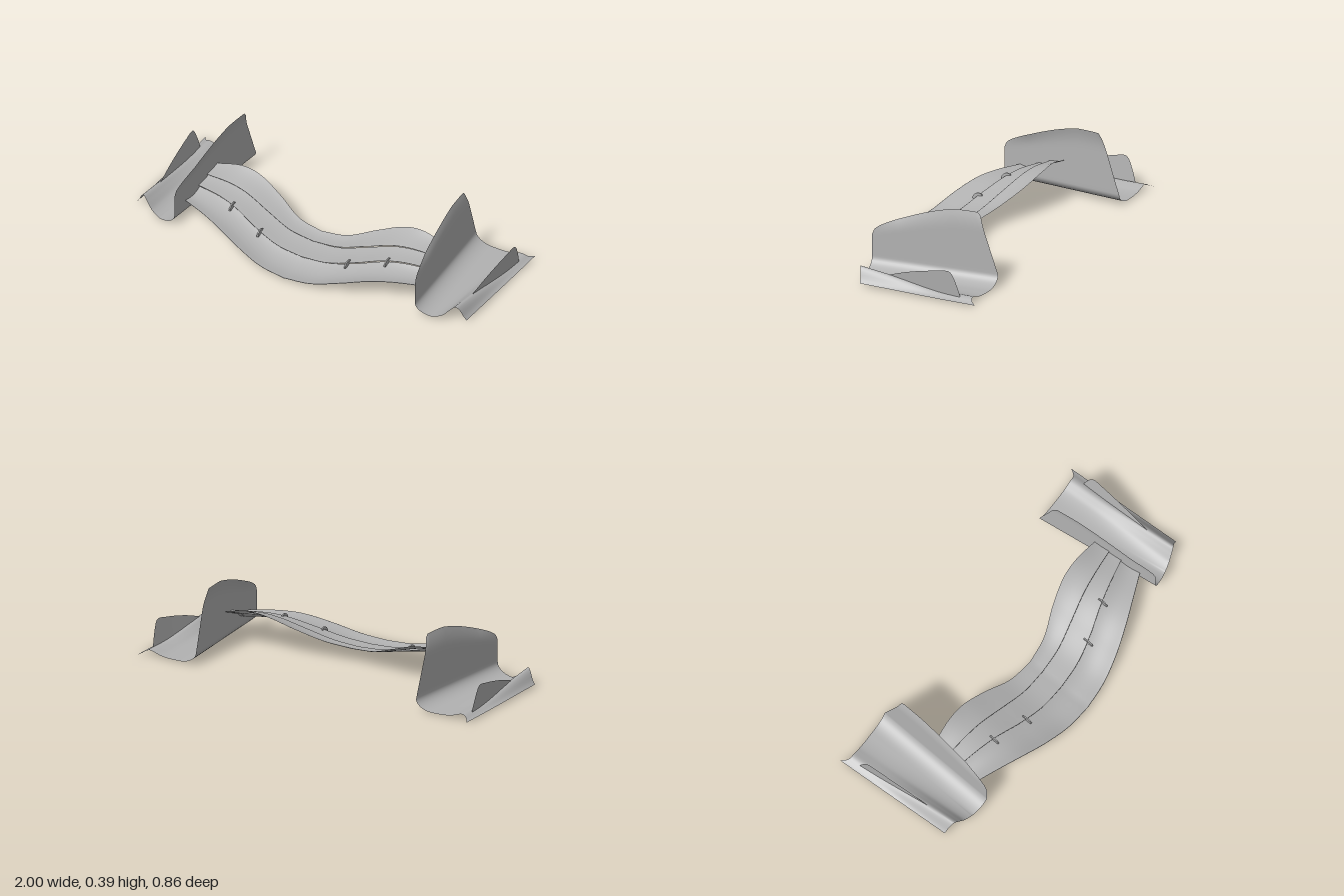
import * as THREE from 'three';

const grey = new THREE.MeshStandardMaterial({ color: 0xb2b2b2, side: THREE.DoubleSide });
grey.name = 'plain grey';

const lerp = THREE.MathUtils.lerp;

// Smooth curve through keys (cubic Hermite, clamped at the ends)
function curve(xs, ys) {
  const n = xs.length;
  const slope = i => {
    const a = Math.max(i - 1, 0), b = Math.min(i + 1, n - 1);
    return (ys[b] - ys[a]) / (xs[b] - xs[a]);
  };
  return x => {
    x = Math.min(Math.max(x, xs[0]), xs[n - 1]);
    let i = 0;
    while (i < n - 2 && x > xs[i + 1]) i++;
    const h = xs[i + 1] - xs[i], t = (x - xs[i]) / h, t2 = t * t, t3 = t2 * t;
    return ys[i] * (2 * t3 - 3 * t2 + 1) + ys[i + 1] * (3 * t2 - 2 * t3)
      + h * slope(i) * (t3 - 2 * t2 + t) + h * slope(i + 1) * (t3 - t2);
  };
}

// Surface from a rule (u, v in 0..1) -> [x, y, z]
function surface(nu, nv, rule, flip = false) {
  const pos = [], idx = [];
  for (let i = 0; i <= nu; i++)
    for (let j = 0; j <= nv; j++) pos.push(...rule(i / nu, j / nv));
  for (let i = 0; i < nu; i++)
    for (let j = 0; j < nv; j++) {
      const a = i * (nv + 1) + j, b = a + nv + 1;
      if (flip) idx.push(a, b, a + 1, b, b + 1, a + 1);
      else idx.push(a, a + 1, b, b, a + 1, b + 1);
    }
  const g = new THREE.BufferGeometry();
  g.setAttribute('position', new THREE.Float32BufferAttribute(pos, 3));
  g.setIndex(idx);
  g.computeVertexNormals();
  return g;
}

function part(name, geometry) {
  const m = new THREE.Mesh(geometry, grey);
  m.name = name;
  return m;
}

// The endplate wall toes inward towards the back
const wallX = z => lerp(0.73, 0.668, (0.315 - z) / 0.7);

// Edge lines of the wing elements along the half span
const span = [0, 0.15, 0.3, 0.45, 0.57, 0.72];
const line = ys => { const f = curve(span, ys); return x => f(Math.abs(x)); };
const elements = [
  { name: 'mainPlane', thick: 0.012, sag: 0.02,
    leZ: line([0.425, 0.413, 0.38, 0.33, 0.282, 0.22]), leY: line([0.02, 0.034, 0.074, 0.112, 0.122, 0.116]),
    teZ: line([0.243, 0.234, 0.203, 0.158, 0.128, 0.095]), teY: line([0.042, 0.055, 0.09, 0.13, 0.142, 0.134]) },
  { name: 'middleFlap', thick: 0.007, sag: 0.006,
    leZ: line([0.255, 0.246, 0.215, 0.17, 0.14, 0.107]), leY: line([0.052, 0.064, 0.101, 0.142, 0.155, 0.146]),
    teZ: line([0.122, 0.114, 0.085, 0.055, 0.038, 0.022]), teY: line([0.066, 0.079, 0.119, 0.162, 0.174, 0.163]) },
  { name: 'upperFlap', thick: 0.007, sag: 0.007,
    leZ: line([0.132, 0.124, 0.096, 0.066, 0.05, 0.034]), leY: line([0.074, 0.088, 0.13, 0.173, 0.185, 0.173]),
    teZ: line([0.05, 0.03, -0.024, -0.061, -0.066, -0.055]), teY: line([0.09, 0.106, 0.16, 0.213, 0.227, 0.194]) },
];

// Cambered aerofoil swept across the span
function wingElement(e) {
  return surface(72, 28, (u, v) => {
    const x = (u * 2 - 1) * 0.72;
    const a = v * Math.PI * 2;
    const c = (1 + Math.cos(a)) / 2;             // 0 at the nose, 1 at the tail
    const half = e.thick * 0.5 * Math.sign(Math.sin(a)) * 2.6 * Math.sqrt(Math.max(1 - c, 0) * 1) * c ** 0.0;
    const z = lerp(e.leZ(x), e.teZ(x), 1 - (1 - c));
    const profile = half * Math.sqrt(c) * (1 - c * 0.8);
    const y = lerp(e.leY(x), e.teY(x), c) - e.sag * 4 * c * (1 - c) + profile;
    return [(x / 0.72) * wallX(z), y, z];
  });
}

// Endplate outlines
const wallTop = curve(
  [-0.285, -0.275, -0.26, -0.16, -0.12, 0, 0.13, 0.24, 0.3, 0.315],
  [0.37, 0.386, 0.39, 0.39, 0.386, 0.354, 0.307, 0.26, 0.222, 0.19]);
const humpHeight = curve([-0.39, -0.2, 0.1, 0.27], [0.026, 0.028, 0.064, 0.085]);
const humpShape = curve([0.76, 0.83, 0.88, 0.915, 0.945, 0.965, 0.985, 1], [0, 0.03, 0.26, 0.68, 1, 0.8, 0.33, 0.1]);
const frontZ = curve([0.73, 0.8, 0.88, 0.94, 0.98, 1], [0.315, 0.305, 0.288, 0.27, 0.25, 0.244]);
const rearZ = curve([0.73, 0.95, 0.975, 1], [-0.39, -0.39, -0.398, -0.43]);
const floorY = (x, z) => 0.01 + humpHeight(z) * humpShape(x);

// One sheet: upright wall, rounded corner, floor and outer tunnel
function endplateSheet(s) {
  return surface(48, 56, (u, v) => {
    const t = u ** 1.3;
    const low = lerp(0.315, -0.388, t), k = v * 56;
    if (k <= 16) {
      const h = 1 - k / 16;                       // 1 at the top of the wall
      const zTop = lerp(0.315, -0.285, t);
      const z = lerp(low, zTop, h);
      const lean = 0.014 * Math.max(0, (h - 0.7) / 0.3) ** 2 * Math.min(1, t * 4);
      return [s * (wallX(z) - lean), lerp(0.07, wallTop(zTop), h), z];
    }
    const wx = wallX(low);
    if (k <= 28) {
      const a = ((k - 16) / 12) * Math.PI / 2;
      const x = wx + 0.1 * (1 - Math.cos(a));
      const z = lerp(frontZ(x), rearZ(x), t);
      return [s * x, 0.01 + 0.06 * (1 - Math.sin(a)), z];
    }
    const x = lerp(wx + 0.1, 1, (k - 28) / 28);
    const z = lerp(frontZ(x), rearZ(x), t);
    return [s * x, floorY(x, z), z];
  }, s < 0);
}

// Upright fin on the crest of the outer tunnel
const finTop = curve(
  [-0.325, -0.315, -0.285, -0.26, -0.2, -0.1, 0, 0.1],
  [0.036, 0.07, 0.145, 0.165, 0.156, 0.135, 0.108, 0.074]);
function outerFin(s) {
  return surface(40, 6, (u, v) => {
    const z = lerp(0.1, -0.325, u);
    const x = lerp(0.945, 0.966, u);
    const base = floorY(x, z) - 0.003;
    const rise = Math.max(finTop(z) - base, 0) * v;
    return [s * (x + rise * 0.1), base + rise, z];
  }, s < 0);
}

// Small hooked bracket bridging the slot behind the main plane
function slotBracket(x) {
  const p = new THREE.Shape();
  p.moveTo(-0.028, 0);
  p.quadraticCurveTo(-0.028, 0.026, 0, 0.024);
  p.quadraticCurveTo(0.022, 0.02, 0.032, -0.006);
  p.lineTo(0.022, -0.012);
  p.lineTo(-0.015, 0);
  const g = new THREE.ExtrudeGeometry(p, { depth: 0.007, bevelEnabled: false, curveSegments: 6 });
  g.translate(0, 0, -0.0035);
  g.rotateY(-Math.PI / 2);
  const m = part('slotBracket', g);
  m.position.set(x, elements[0].teY(x) + 0.002, elements[0].teZ(x) + 0.012);
  return m;
}

export function createModel() {
  const model = new THREE.Group();
  model.name = 'frontWing';
  for (const e of elements) model.add(part(e.name, wingElement(e)));
  for (const s of [1, -1]) {
    const side = new THREE.Group();
    side.name = s > 0 ? 'leftEndplate' : 'rightEndplate';
    side.add(part('endplateSheet', endplateSheet(s)), part('outerFin', outerFin(s)));
    model.add(side);
    for (const x of [0.265, 0.47]) model.add(slotBracket(s * x));
  }
  return model;
}
